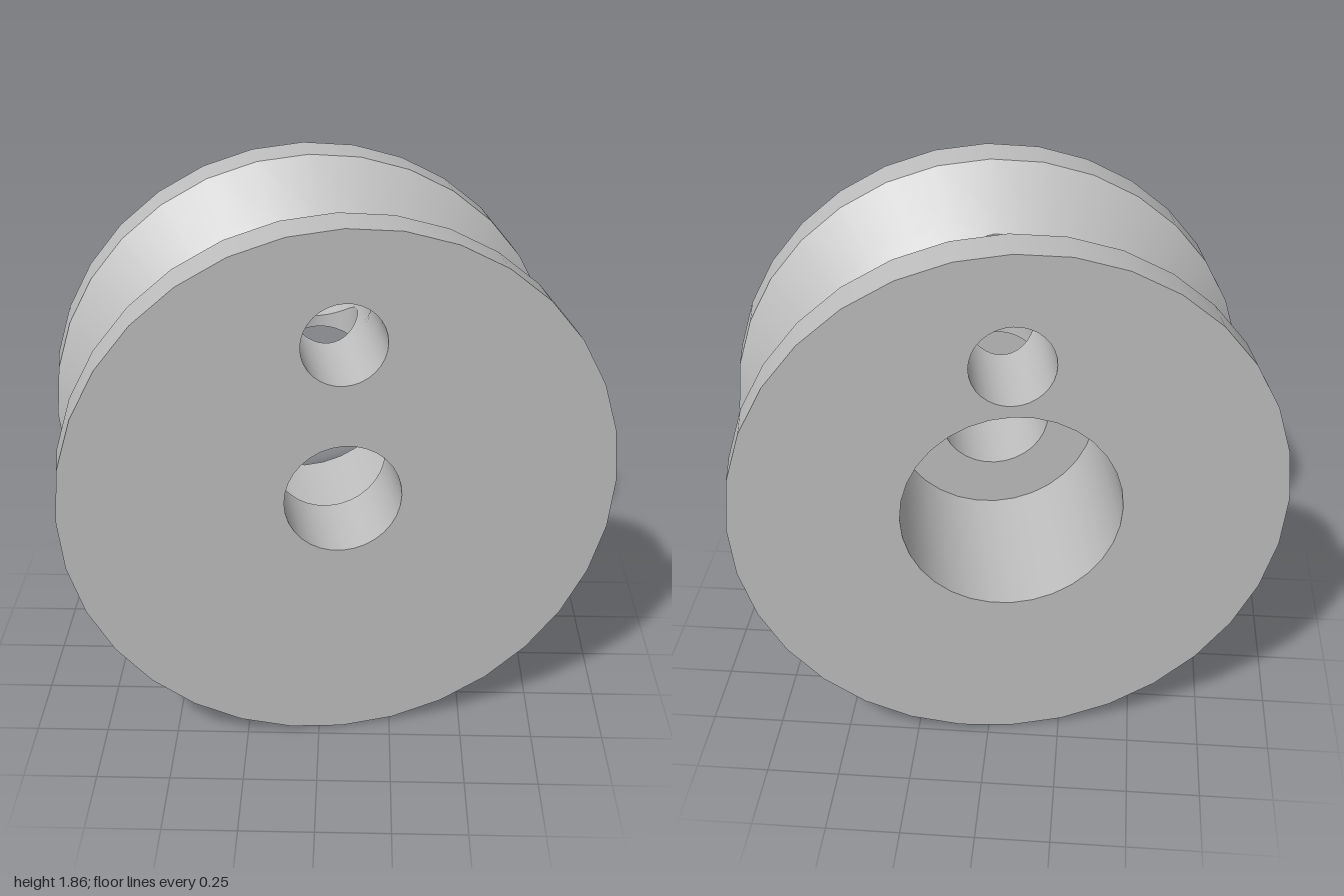
import * as THREE from 'three';
import { mergeGeometries } from 'three/addons/utils/BufferGeometryUtils.js';

const SEG = 32, STEP = (Math.PI * 2) / SEG;
const R = 0.932, H = 0.461;              // rim radius, half thickness
const RIM = 0.311, WAIST = 0.68, FILLET = 0.142;
const SHAFT_R = 0.196, BORE_R = 0.37, BORE_END = 0.16;
const PIN_R = 0.14, PIN_Y = 0.55;        // off-centre through hole
const SCREW_R = 0.12, PATCH = 0.16;      // radial hole and the patch around it

// Groove radius at axial position a: rounded waist, then straight 45 degree flanks
function grooveR(a) {
  const s = Math.abs(a), t = FILLET * Math.SQRT1_2;
  if (s <= t) return WAIST + FILLET - Math.sqrt(FILLET * FILLET - s * s);
  const r0 = WAIST + FILLET - t;
  return r0 + ((R - r0) * (s - t)) / (RIM - t);
}

// Indexed grid of quads; f(i, j) returns [position, normal]
function grid(nu, nv, f, flip) {
  const pos = [], nor = [], idx = [];
  for (let j = 0; j <= nv; j++) {
    for (let i = 0; i <= nu; i++) {
      const [p, n] = f(i, j);
      pos.push(...p);
      nor.push(...n);
      if (i < nu && j < nv) {
        const a = j * (nu + 1) + i, b = a + 1, d = a + nu + 1, c = d + 1;
        idx.push(...(flip ? [a, c, b, a, d, c] : [a, b, c, a, c, d]));
      }
    }
  }
  const g = new THREE.BufferGeometry();
  g.setAttribute('position', new THREE.Float32BufferAttribute(pos, 3));
  g.setAttribute('normal', new THREE.Float32BufferAttribute(nor, 3));
  g.setIndex(idx);
  return g;
}

// Point and normal on a surface of revolution about z, centred at height cy
function onSurface({ r, cy = 0, inward = false }, th, a) {
  const e = 1e-3, rad = r(a), slope = (r(a + e) - r(a - e)) / (2 * e);
  const k = (inward ? -1 : 1) / Math.hypot(1, slope);
  return [
    [rad * Math.sin(th), cy + rad * Math.cos(th), a],
    [k * Math.sin(th), k * Math.cos(th), -k * slope],
  ];
}

const span = (a, b, n) => Array.from({ length: n + 1 }, (_, i) => a + ((b - a) * i) / n);

// Band swept through the axial stations, from step i0 to step i1
function band(surf, stations, i0 = 0, i1 = SEG) {
  return grid(i1 - i0, stations.length - 1,
    (i, j) => onSurface(surf, (i0 + i) * STEP, stations[j]), !surf.inward);
}

// Surface patch with a round opening; div steps per side
function drilledPatch(surf, centre, half, div) {
  const rings = 6;
  return grid(div * 4, rings, (i, j) => {
    const side = Math.floor(i / div) % 4, w = -1 + (2 * (i % div)) / div;
    const [u, v] = [[1, w], [-w, 1], [-1, -w], [w, -1]][side];
    const t = Math.atan2(v, u), a0 = SCREW_R * Math.sin(t);
    const th0 = Math.asin((SCREW_R * Math.cos(t)) / surf.r(a0));
    const k = j / rings;
    return onSurface(surf, centre + th0 + (u * half - th0) * k, a0 + (v * PATCH - a0) * k);
  }, surf.inward);
}

// Wall of the radial hole between two height functions of (x, z)
function screwWall(low, high) {
  return grid(48, 1, (i, j) => {
    const t = (i / 48) * Math.PI * 2, c = Math.cos(t), s = Math.sin(t);
    const x = SCREW_R * c, z = SCREW_R * s;
    return [[x, (j ? high : low)(x, z), z], [-c, 0, -s]];
  }, false);
}

const circle = (r, cy = 0) => Array.from({ length: SEG }, (_, i) =>
  new THREE.Vector2(r * Math.sin(i * STEP), cy + r * Math.cos(i * STEP)));

// Flat disc with holes, facing +z or -z
function disc(outer, holes, z, back) {
  const shape = new THREE.Shape(outer);
  holes.forEach((h) => shape.holes.push(new THREE.Path(h)));
  const g = new THREE.ShapeGeometry(shape);
  if (back) g.rotateY(Math.PI);
  return g.translate(0, 0, z);
}

export function createModel() {
  const metal = new THREE.MeshStandardMaterial({ color: 0xbfbfbf });
  metal.name = 'light grey metal';
  const model = new THREE.Group();
  model.name = 'grooved pulley';
  const wheel = new THREE.Group();
  wheel.name = 'wheel';
  wheel.position.y = R;
  wheel.rotation.y = THREE.MathUtils.degToRad(10);
  model.add(wheel);

  const add = (name, ...geos) => {
    const mesh = new THREE.Mesh(geos.length > 1 ? mergeGeometries(geos) : geos[0], metal);
    mesh.name = name;
    wheel.add(mesh);
  };

  const rim = { r: () => R };
  const groove = { r: grooveR };
  const shaft = { r: () => SHAFT_R, inward: true };
  const bore = { r: () => BORE_R, inward: true };
  const pin = { r: () => PIN_R, cy: PIN_Y, inward: true };
  const middle = span(-PATCH, PATCH, 8);

  // Outer faces and rims
  add('frontFace', disc(circle(R), [circle(SHAFT_R), circle(PIN_R, PIN_Y)], H));
  add('backFace', disc(circle(R), [circle(BORE_R), circle(PIN_R, PIN_Y)], -H, true));
  add('frontRim', band(rim, [RIM, H]));
  add('backRim', band(rim, [-H, -RIM]));

  // Rope groove with the radial hole at the top
  add('groove',
    band(groove, [-RIM, -PATCH]), band(groove, [PATCH, RIM]),
    band(groove, middle, 4, SEG - 4),
    drilledPatch(groove, 0, Math.PI / 4, 8));

  // Stepped centre bore
  add('shaftHole', band(shaft, [BORE_END, H]));
  add('boreShoulder', disc(circle(BORE_R), [circle(SHAFT_R)], BORE_END, true));
  add('counterbore',
    band(bore, [-H, -PATCH]), band(bore, middle, 4, SEG - 4),
    drilledPatch(bore, 0, Math.PI / 4, 8));

  // Off-centre hole, crossed above and below by the radial hole
  add('pinHole',
    band(pin, [-H, -PATCH]), band(pin, [PATCH, H]),
    drilledPatch(pin, 0, Math.PI / 2, 16),
    drilledPatch(pin, Math.PI, Math.PI / 2, 16));

  // Radial hole walls
  const arc = (r, x) => Math.sqrt(r * r - x * x);
  add('screwHole',
    screwWall((x) => PIN_Y + arc(PIN_R, x), (x, z) => arc(grooveR(z), x)),
    screwWall((x) => arc(BORE_R, x), (x) => PIN_Y - arc(PIN_R, x)));

  return model;
}
